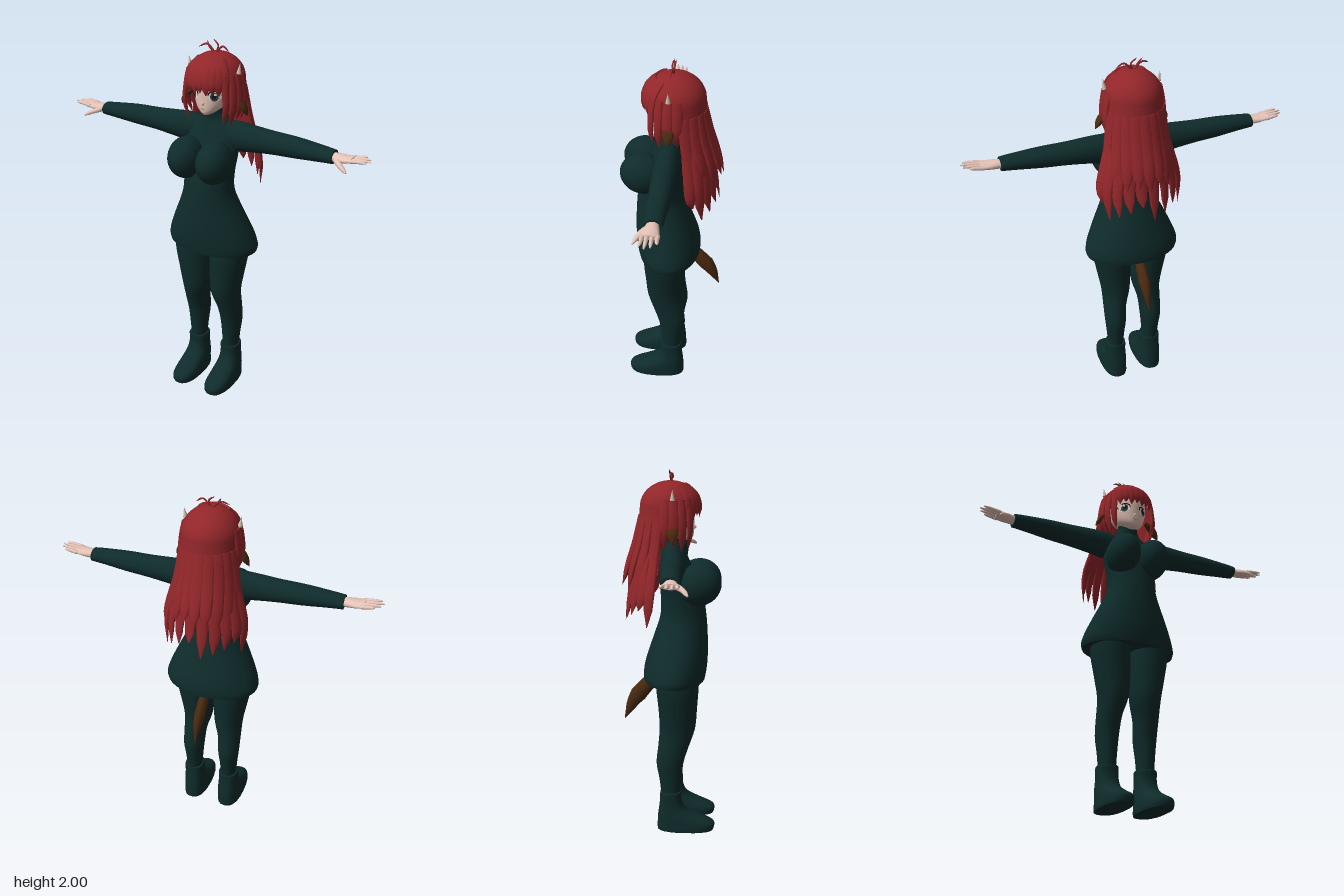
import * as THREE from 'three';

const mat = (name, color, double) => {
  const m = new THREE.MeshStandardMaterial({ color });
  m.name = name;
  if (double) m.side = THREE.DoubleSide;
  return m;
};
const V = (x, y, z) => new THREE.Vector3(x, y, z);

// Skin over a stack of point rings, optionally closed around and capped at both ends
function skin(rings, closed = true) {
  const n = rings[0].length, pos = [], idx = [];
  rings.flat().forEach(p => pos.push(p.x, p.y, p.z));
  for (let i = 0; i < rings.length - 1; i++) {
    for (let j = 0; j < (closed ? n : n - 1); j++) {
      const a = i * n + j, b = i * n + (j + 1) % n;
      idx.push(a, a + n, b, b, a + n, b + n);
    }
  }
  if (closed) [rings[0], rings[rings.length - 1]].forEach((ring, end) => {
    const base = pos.length / 3, c = V(0, 0, 0);
    ring.forEach(p => { pos.push(p.x, p.y, p.z); c.addScaledVector(p, 1 / n); });
    pos.push(c.x, c.y, c.z);
    for (let j = 0; j < n; j++) {
      const a = base + j, b = base + (j + 1) % n;
      if (end) idx.push(a, base + n, b); else idx.push(a, b, base + n);
    }
  });
  const g = new THREE.BufferGeometry();
  g.setAttribute('position', new THREE.Float32BufferAttribute(pos, 3));
  g.setIndex(idx);
  g.computeVertexNormals();
  return g;
}

// Smooth loft of ellipses. Along y: [y, cx, cz, rx, rz]; along x: [x, cz, cy, rz, ry]
function loft(rows, { axis = 'y', n = 24, power = 1, steps = 3 } = {}) {
  const spline = new THREE.CubicInterpolant(rows.map((_, i) => i), rows.flat(), 5);
  const rings = [];
  for (let k = 0; k <= (rows.length - 1) * steps; k++) {
    const [t, a, b, ra, rb] = Array.from(spline.evaluate(k / steps));
    rings.push(Array.from({ length: n }, (_, j) => {
      const f = v => Math.sign(v) * Math.abs(v) ** power, w = j / n * Math.PI * 2;
      const u = a + ra * f(Math.cos(w)), v = b + rb * f(Math.sin(w));
      return axis === 'y' ? V(u, t, v) : V(t, v, u);
    }));
  }
  return skin(rings);
}

// Flattened tapering strand along a curve; "out" is the direction its broad face looks
const LOCK = [0.85, 1, 1, 0.95, 0.8, 0.08];
function strand(points, w, t, out, taper = LOCK, n = 8) {
  const curve = new THREE.CatmullRomCurve3(points.map(p => V(...p)));
  const rings = [], count = 10;
  for (let i = 0; i <= count; i++) {
    const c = curve.getPoint(i / count), T = curve.getTangent(i / count);
    const O = out ? V(...out) : V(c.x, 0, c.z);
    const W = V(0, 0, 0).crossVectors(T, O).normalize();
    const N = V(0, 0, 0).crossVectors(W, T);
    const q = i / count * (taper.length - 1), k = Math.min(Math.floor(q), taper.length - 2);
    const s = THREE.MathUtils.lerp(taper[k], taper[k + 1], q - k);
    rings.push(Array.from({ length: n }, (_, j) => {
      const a = j / n * Math.PI * 2;
      return c.clone().addScaledVector(W, w * s * Math.cos(a)).addScaledVector(N, t * s * Math.sin(a));
    }));
  }
  return skin(rings);
}

function mirrored(geo) {
  const g = geo.clone(), ix = g.index.array;
  g.scale(-1, 1, 1);
  for (let i = 0; i < ix.length; i += 3) [ix[i], ix[i + 1]] = [ix[i + 1], ix[i]];
  g.computeVertexNormals();
  return g;
}

export function createModel() {
  const root = new THREE.Group();
  root.name = 'girl';
  const cloth = mat('dark green cloth', 0x0f2b2b), hair = mat('red hair', 0x92262a, true);
  const flesh = mat('skin', 0xe6c4b8), brown = mat('brown fur', 0x4a2a10);
  const ivory = mat('ivory', 0xcfc4b4), white = mat('eye white', 0xe8e6e2);
  const dark = mat('lash black', 0x1d1718), iris = mat('iris', 0x3c4a48), lip = mat('lip', 0x8c5550);

  const add = (name, geo, m) => {
    const mesh = new THREE.Mesh(geo, m);
    mesh.name = name;
    root.add(mesh);
  };
  const pair = (name, geo, m) => { add(name + 'Left', geo, m); add(name + 'Right', mirrored(geo), m); };

  // Sweater dress with turtleneck
  add('sweater', loft([
    [0.87, 0, 0.02, 0.258, 0.168], [0.9, 0, 0.022, 0.264, 0.172], [0.96, 0, 0.03, 0.247, 0.171],
    [1.05, 0, 0.045, 0.208, 0.158], [1.15, 0, 0.06, 0.162, 0.139], [1.23, 0, 0.068, 0.138, 0.124],
    [1.33, 0, 0.06, 0.14, 0.115], [1.42, 0, 0.04, 0.15, 0.1], [1.5, 0, 0.025, 0.148, 0.083],
    [1.56, 0, 0.015, 0.13, 0.067], [1.6, 0, 0.01, 0.088, 0.058], [1.63, 0, 0.015, 0.062, 0.055],
    [1.67, 0, 0.02, 0.056, 0.05]], { n: 36 }), cloth);
  const bust = new THREE.SphereGeometry(1, 24, 16).scale(0.092, 0.112, 0.122);
  pair('bust', bust.rotateX(-0.25).translate(0.085, 1.405, 0.15), cloth);
  pair('sleeve', loft([
    [0.06, 0.015, 1.53, 0.05, 0.06], [0.14, 0.015, 1.522, 0.06, 0.08], [0.22, 0.02, 1.525, 0.062, 0.073],
    [0.35, 0.022, 1.528, 0.06, 0.06], [0.48, 0.025, 1.53, 0.056, 0.054], [0.6, 0.03, 1.53, 0.05, 0.043],
    [0.67, 0.032, 1.529, 0.047, 0.036], [0.69, 0.033, 1.528, 0.045, 0.034]], { axis: 'x' }), cloth);

  // Hands
  pair('palm', loft([
    [0.67, 0.034, 1.528, 0.028, 0.022], [0.71, 0.036, 1.53, 0.034, 0.022],
    [0.75, 0.038, 1.532, 0.042, 0.018], [0.79, 0.038, 1.538, 0.042, 0.013]], { axis: 'x', n: 16 }), flesh);
  [[0.002, 0.845], [0.026, 0.872], [0.05, 0.882], [0.072, 0.868]].forEach(([z, tip], i) =>
    pair('finger' + i, strand([[0.775, 1.536, z], [0.82, 1.543, z], [tip, 1.547, z * 1.12 - 0.004]],
      0.011, 0.01, [0, 1, 0], [1, 1, 0.9, 0.8, 0.3]), flesh));
  pair('thumb', strand([[0.71, 1.525, 0.06], [0.75, 1.512, 0.095], [0.787, 1.494, 0.117]],
    0.015, 0.013, [0, 1, 0], [1.1, 1.1, 0.9, 0.8, 0.3]), flesh);

  // Legs and boots
  pair('leg', loft([
    [0.95, 0.108, 0.04, 0.1, 0.112], [0.85, 0.111, 0.04, 0.106, 0.116], [0.72, 0.1, 0.042, 0.095, 0.106],
    [0.6, 0.093, 0.04, 0.08, 0.098], [0.5, 0.105, 0.02, 0.065, 0.085], [0.4, 0.108, 0, 0.06, 0.075],
    [0.3, 0.108, 0.003, 0.05, 0.062], [0.2, 0.108, 0.005, 0.043, 0.052]].reverse()), cloth);
  pair('boot', loft([
    [0, 0.108, 0.088, 0.07, 0.158], [0.015, 0.108, 0.09, 0.072, 0.161], [0.045, 0.108, 0.088, 0.07, 0.158],
    [0.08, 0.108, 0.05, 0.066, 0.118], [0.12, 0.108, 0.015, 0.06, 0.078], [0.17, 0.108, 0.005, 0.055, 0.062],
    [0.22, 0.108, 0.005, 0.056, 0.06], [0.23, 0.108, 0.005, 0.054, 0.058]], { power: 0.8 }), cloth);

  // Tail and animal ears
  add('tail', strand([[0, 0.92, -0.06], [0, 0.85, -0.11], [0, 0.74, -0.2], [0, 0.62, -0.26]],
    0.032, 0.046, [0, 0, -1], [0.4, 0.5, 0.9, 1, 0.6, 0.04]), brown);
  pair('ear', strand([[0.12, 1.735, 0.015], [0.165, 1.695, 0.015], [0.197, 1.64, 0.015]],
    0.032, 0.014, [1, 1, 0], [0.5, 0.9, 1, 0.85, 0.05]), brown);

  // Head and face
  add('head', loft([
    [1.635, 0, 0.085, 0.014, 0.022], [1.65, 0, 0.07, 0.042, 0.047], [1.675, 0, 0.045, 0.071, 0.077],
    [1.71, 0, 0.025, 0.091, 0.099], [1.75, 0, 0.018, 0.102, 0.107], [1.8, 0, 0.012, 0.108, 0.112],
    [1.86, 0, 0.005, 0.1, 0.105], [1.9, 0, 0, 0.07, 0.075]], { n: 32 }), flesh);
  add('nose', new THREE.SphereGeometry(0.01, 10, 8).scale(0.6, 1, 1.3).translate(0, 1.7, 0.122), flesh);
  // Thin painted plate wrapped on the face
  const plate = (x, y, rx, ry, lift) => {
    const g = new THREE.CircleGeometry(1, 24).scale(rx, ry, 1).translate(x, y, 0), p = g.attributes.position;
    for (let i = 0; i < p.count; i++) {
      const px = p.getX(i), k = THREE.MathUtils.clamp((p.getY(i) - 1.675) / 0.075, 0, 1);
      const r = 0.071 + 0.031 * Math.sin(k * Math.PI / 2);
      p.setZ(i, 0.122 - (1 - k) * 0.002 - 0.107 * (1 - Math.sqrt(Math.max(0, 1 - (px / r) ** 2))) + lift);
    }
    g.computeVertexNormals();
    return g;
  };
  pair('lash', plate(0.058, 1.751, 0.031, 0.024, 0.005), dark);
  pair('eyeWhite', plate(0.058, 1.741, 0.027, 0.026, 0.007), white);
  pair('iris', plate(0.058, 1.741, 0.017, 0.024, 0.0085), iris);
  pair('pupil', plate(0.058, 1.744, 0.01, 0.015, 0.01), dark);
  pair('glint', plate(0.064, 1.753, 0.006, 0.006, 0.0115), white);
  add('mouth', plate(0, 1.672, 0.012, 0.002, 0.005), lip);

  // Horns
  pair('horn', new THREE.ConeGeometry(0.013, 0.055, 10).rotateZ(-0.15).translate(0.147, 1.878, 0.015), ivory);

  // Hair cap and the curtains continuing it at the sides and back
  add('hairCap', new THREE.SphereGeometry(1, 36, 14, 0, Math.PI * 2, 0, Math.PI * 0.5)
    .scale(0.15, 0.135, 0.16).translate(0, 1.805, -0.003), hair);
  const curtain = (rows, from, to) => skin(rows.map(([y, rx, rz]) => Array.from({ length: 29 }, (_, j) => {
    const a = THREE.MathUtils.degToRad(from + (to - from) * j / 28);
    return V(rx * Math.sin(a), y, rz * Math.cos(a) - 0.003);
  })).reverse(), false);
  add('hairSides', curtain([[1.81, 0.15, 0.16], [1.74, 0.154, 0.167], [1.66, 0.158, 0.178]], 300, 60), hair);
  add('hairBack', curtain([[1.72, 0.156, 0.168], [1.6, 0.168, 0.188], [1.47, 0.18, 0.21]], 255, 105), hair);

  // Fringe
  for (let i = -4; i <= 4; i++) {
    const a = i * 0.22, s = Math.sin(a), c = Math.cos(a), low = 1.765 - 0.012 * (i % 2 ? 1 : 0);
    add('fringe', strand([[0.085 * s, 1.92, 0.085 * c], [0.132 * s, 1.87, 0.138 * c],
      [0.151 * s, 1.81, 0.157 * c], [0.148 * s, low, 0.152 * c]], 0.025, 0.007), hair);
  }
  // Side locks
  [[0.88, 1.6, 0.02], [1.15, 1.585, 0.024], [1.45, 1.61, 0.028], [1.75, 1.6, 0.028]].forEach(([a, low, w]) => {
    const s = Math.sin(a), c = Math.cos(a);
    pair('sideLock', strand([[0.14 * s, 1.85, 0.15 * c], [0.155 * s, 1.77, 0.16 * c],
      [0.16 * s, 1.69, 0.165 * c], [0.135 * s, low, 0.15 * c]], w, 0.01), hair);
  });
  // Two layers of long back locks, the inner one longer
  for (let i = -4; i <= 4; i++) {
    const a = i * 0.29, s = Math.sin(a), c = Math.cos(a);
    add('outerLock', strand([[0.148 * s, 1.76, -0.162 * c], [0.168 * s, 1.62, -0.195 * c],
      [0.19 * s, 1.5, -0.23 * c - 0.004], [0.205 * s, 1.385 + 0.02 * (i & 1), -0.262 * c]], 0.036, 0.012), hair);
  }
  for (let i = 0; i < 10; i++) {
    const a = (i - 4.5) * 0.3, s = Math.sin(a), c = Math.cos(a), low = 1.2 + 0.035 * (i * 3 % 4) * 0.8;
    add('innerLock', strand([[0.15 * s, 1.62, -0.05 - 0.12 * c], [0.185 * s, 1.5, -0.06 - 0.14 * c],
      [0.222 * s, 1.36, -0.07 - 0.15 * c], [0.215 * s, low, -0.08 - 0.165 * c]], 0.034, 0.012), hair);
  }
  // Loose strands on the crown
  [[[0, 1.93, 0], [-0.05, 1.972, 0], [-0.09, 1.955, 0.015]],
    [[0, 1.93, 0], [0.012, 1.97, -0.005], [-0.02, 1.999, -0.01]],
    [[0, 1.93, 0], [0.045, 1.972, 0.005], [0.085, 1.948, 0.01]],
    [[0, 1.93, 0], [-0.03, 1.96, 0.01], [-0.05, 1.99, 0]]].forEach(p =>
    add('crownStrand', strand(p, 0.005, 0.004, [0, 0, 1]), hair));

  return root;
}
